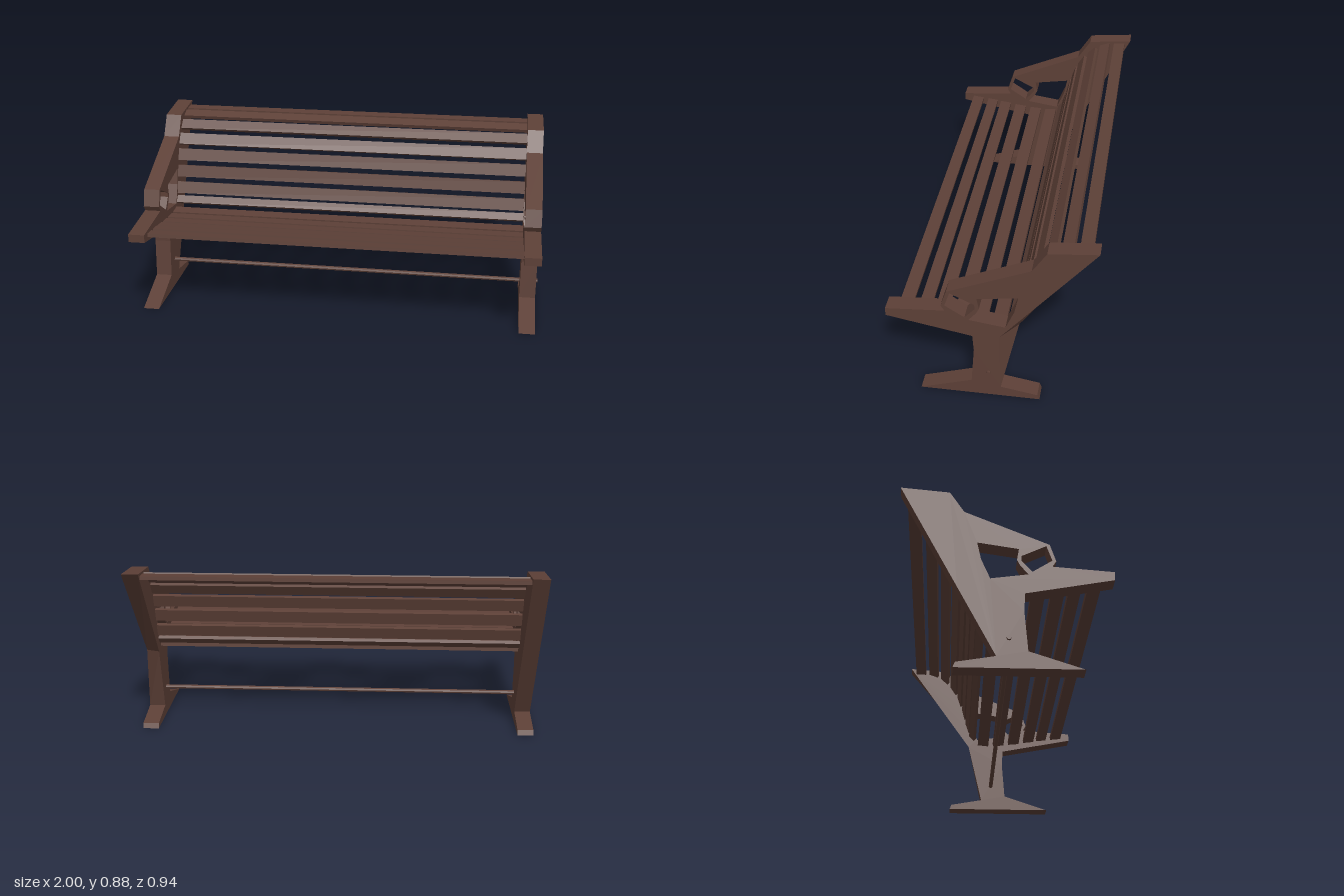
import * as THREE from 'three';

const wood = new THREE.MeshStandardMaterial({ color: 0x5d4037, flatShading: true });
wood.name = 'dark brown wood';

const INNER = 0.91, OUTER = 0.99;

// Points are given as [z, y]; the shape is drawn in (-z, y) and turned to face sideways.
const toPoints = (list) => list.map(([z, y]) => new THREE.Vector2(-z, y));

// One-piece side: foot, leg, seat arm, back post and armrest with a scroll
function sideGeometry(x0, backKnee) {
  const shape = new THREE.Shape(toPoints([
    [0.33, 0], [0.09, 0.08], [0.075, 0.27], [0.08, 0.355],
    [0.47, 0.43], [0.47, 0.47], [0.2, 0.49], [0.217, 0.517], [0.19, 0.6],
    [-0.185, 0.76], [-0.25, 0.86], [-0.47, 0.88],
    backKnee, [-0.045, 0.055], [-0.215, 0.025], [-0.225, 0],
  ]));
  // opening inside the scroll
  shape.holes.push(new THREE.Path(toPoints([
    [0.175, 0.593], [0.2, 0.52], [0.112, 0.462], [0.066, 0.515], [0.066, 0.54],
  ])));
  // opening under the armrest
  shape.holes.push(new THREE.Path(toPoints([
    [0.055, 0.575], [0.046, 0.52], [0.06, 0.492], [0.095, 0.449],
    [-0.07, 0.425], [-0.11, 0.52], [-0.127, 0.603],
  ])));
  const geo = new THREE.ExtrudeGeometry(shape, { depth: OUTER - INNER, bevelEnabled: false });
  geo.rotateY(Math.PI / 2);
  geo.translate(x0, 0, 0);
  return geo;
}

// Pull one corner of the inner face to a new place
function moveInnerCorner(geo, from, to) {
  const p = geo.attributes.position;
  for (let i = 0; i < p.count; i++) {
    const hit = Math.abs(p.getX(i) - INNER) < 1e-3
      && Math.abs(p.getZ(i) - from[0]) < 1e-3 && Math.abs(p.getY(i) - from[1]) < 1e-3;
    if (hit) p.setXYZ(i, INNER, to[1], to[0]);
  }
  geo.computeVertexNormals();
}

export function createModel() {
  const group = new THREE.Group();
  group.name = 'bench';

  const add = (name, geo) => {
    const mesh = new THREE.Mesh(geo, wood);
    mesh.name = name;
    group.add(mesh);
    return mesh;
  };

  // Right side has a straight back edge; the left one is hollowed on its outer rear edge
  add('rightSide', sideGeometry(-OUTER, [-0.212, 0.38]));
  const knee = [-0.04, 0.36];
  const left = sideGeometry(INNER, knee);
  moveInnerCorner(left, knee, [-0.12, 0.38]);
  add('leftSide', left);

  // Slats: [z, y, tilt, width], tilt 0 lies flat, larger tilts stand up
  const slats = (name, list) => list.forEach(([z, y, tilt, width], i) => {
    const mesh = add(`${name}${i + 1}`, new THREE.BoxGeometry(INNER * 2 + 0.02, 0.018, width));
    mesh.position.set(0, y, z);
    mesh.rotation.x = tilt;
  });
  slats('seatSlat', [
    [0.39, 0.446, -0.12, 0.06],
    [0.305, 0.436, -0.12, 0.056],
    [0.23, 0.424, -0.12, 0.06],
    [0.142, 0.41, -0.1, 0.062],
    [0.053, 0.4, -0.05, 0.062],
    [-0.035, 0.398, 0.1, 0.062],
  ]);
  slats('backSlat', [
    [-0.098, 0.44, 0.85, 0.04],
    [-0.122, 0.5, 1.25, 0.062],
    [-0.145, 0.585, 1.32, 0.062],
    [-0.172, 0.668, 1.25, 0.062],
    [-0.21, 0.742, 1.0, 0.06],
    [-0.265, 0.805, 0.75, 0.055],
    [-0.333, 0.843, 0.35, 0.055],
    [-0.41, 0.853, 0.05, 0.058],
  ]);

  // Thin rod tying the legs together
  const rod = add('stretcherRod', new THREE.CylinderGeometry(0.011, 0.011, 2, 8));
  rod.rotation.z = Math.PI / 2;
  rod.position.set(0, 0.14, 0.01);

  return group;
}
